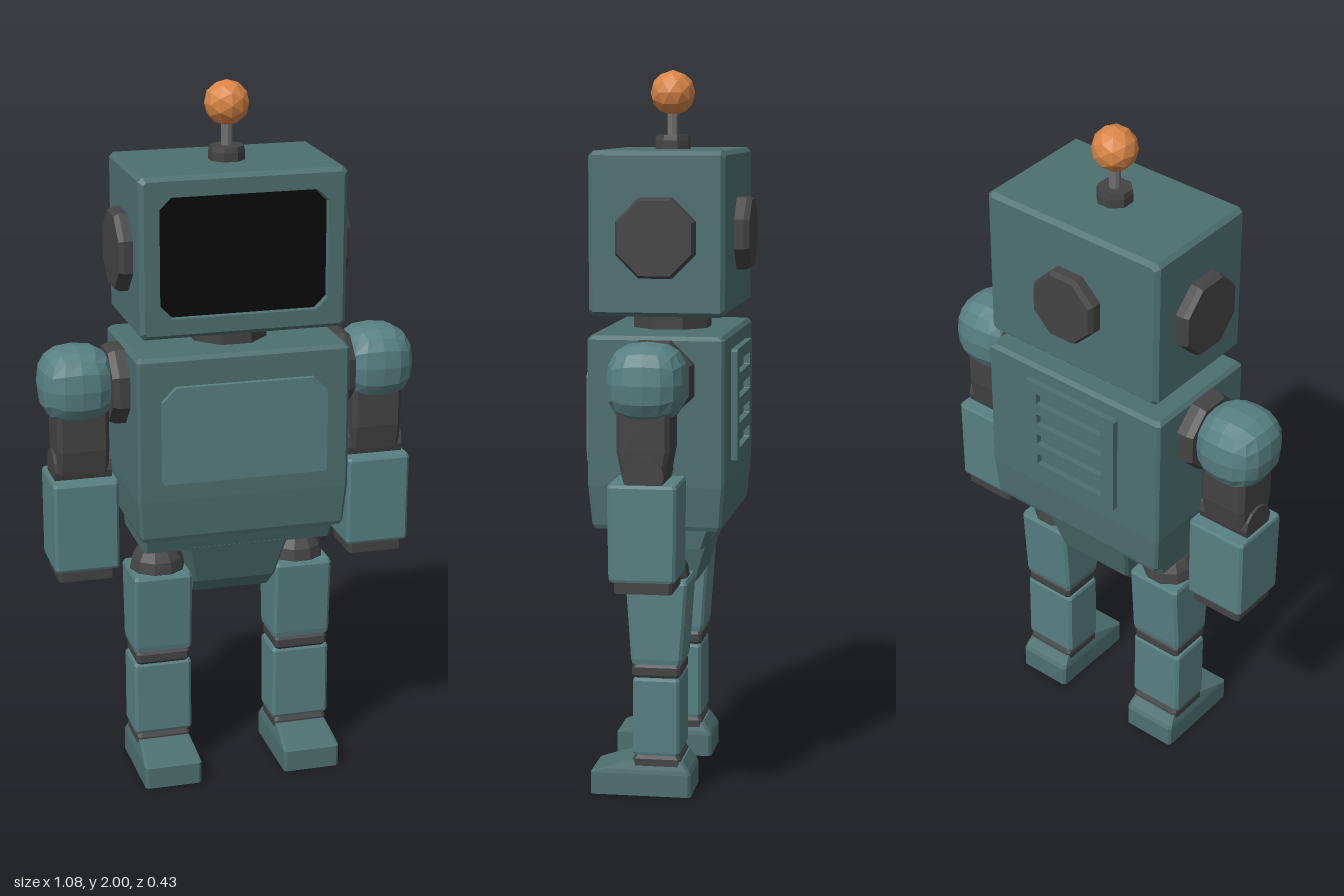
import * as THREE from 'three';

const paint = (color) => new THREE.MeshStandardMaterial({ color, flatShading: true });
const BODY = paint(0x4e7070), LIMB = paint(0x588082), DARK = paint(0x444444);
const BLACK = paint(0x0a0a0a), ORANGE = paint(0xd98545), METAL = paint(0x707070);
const ZC = 0.01; // depth of the body's centre line

// Stacks chamfered rectangles [y, half width, front z, back z, corner cut] into a closed solid
function loft(sections) {
  const rings = sections.map(([y, w, f, b, c = 0.008]) => [
    [-w + c, f], [w - c, f], [w, f - c], [w, b + c],
    [w - c, b], [-w + c, b], [-w, b + c], [-w, f - c],
  ].map(([x, z]) => [x, y, z]));
  const pos = [];
  const tri = (...points) => points.forEach((p) => pos.push(...p));
  for (let r = 0; r + 1 < rings.length; r++) {
    const a = rings[r], b = rings[r + 1];
    for (let i = 0; i < 8; i++) {
      const j = (i + 1) % 8;
      tri(a[i], a[j], b[j]);
      tri(a[i], b[j], b[i]);
    }
  }
  const first = rings[0], last = rings[rings.length - 1];
  for (let i = 1; i < 7; i++) {
    tri(first[0], first[i + 1], first[i]);
    tri(last[0], last[i], last[i + 1]);
  }
  const geo = new THREE.BufferGeometry();
  geo.setAttribute('position', new THREE.Float32BufferAttribute(pos, 3));
  geo.computeVertexNormals();
  return geo;
}

// Bevelled octagonal disc standing on y = 0, flats facing the axes
function disc(radius, height) {
  const r = radius / Math.cos(Math.PI / 8);
  const profile = [[0, 0], [r, 0], [r, height * 0.65], [r * 0.93, height], [0, height]];
  const geo = new THREE.LatheGeometry(profile.map(([x, y]) => new THREE.Vector2(x, y)), 8);
  return geo.rotateY(Math.PI / 8);
}

// Ball made from a subdivided cube, a little squarer than a sphere
function cubeBall(radius) {
  const geo = new THREE.BoxGeometry(2, 2, 2, 4, 4, 4);
  const p = geo.attributes.position, v = new THREE.Vector3(), power = 2.6;
  for (let i = 0; i < p.count; i++) {
    v.fromBufferAttribute(p, i);
    const n = v.toArray().reduce((sum, k) => sum + Math.abs(k) ** power, 0) ** (1 / power);
    v.multiplyScalar(radius / n);
    p.setXYZ(i, v.x, v.y, v.z);
  }
  geo.computeVertexNormals();
  return geo;
}

// Rectangle outline centred on (0, y), with its corners cut
function outline(Type, w, y, h, topCut, bottomCut = topCut) {
  return new Type([
    [-w + bottomCut, y - h], [w - bottomCut, y - h], [w, y - h + bottomCut], [w, y + h - topCut],
    [w - topCut, y + h], [-w + topCut, y + h], [-w, y + h - topCut], [-w, y - h + bottomCut],
  ].map(([px, py]) => new THREE.Vector2(px, py)));
}

const extrude = (shape, depth) => new THREE.ExtrudeGeometry(shape, { depth, bevelEnabled: false });

export function createModel() {
  const model = new THREE.Group();
  model.name = 'robot';

  function add(parent, name, geometry, material, x = 0, y = 0, z = 0) {
    const mesh = new THREE.Mesh(geometry, material);
    mesh.name = name;
    mesh.position.set(x, y, z);
    parent.add(mesh);
    return mesh;
  }

  // Head: lofted front to back, with a recess for the screen
  const head = new THREE.Group();
  head.name = 'head';
  model.add(head);
  const shell = loft([
    [-0.176, 0.278, 0.211, -0.211], [-0.164, 0.29, 0.223, -0.223, 0.012],
    [0.184, 0.29, 0.223, -0.223, 0.012], [0.197, 0.278, 0.211, -0.211],
    [0.197, 0.235, 0.167, -0.167, 0.032], [0.182, 0.232, 0.164, -0.164, 0.032],
  ]).rotateX(Math.PI / 2);
  add(head, 'headShell', shell, BODY, 0, 1.56, 0);
  add(head, 'screen', extrude(outline(THREE.Shape, 0.232, 1.56, 0.164, 0.032), 0.003), BLACK, 0, 0, 0.182);
  for (const s of [1, -1]) {
    add(head, s > 0 ? 'leftEar' : 'rightEar', disc(0.108, 0.04), DARK, s * 0.288, 1.551, ZC).rotation.z = -s * Math.PI / 2;
  }
  add(head, 'backDisc', disc(0.1, 0.044), DARK, 0, 1.551, -0.174).rotation.x = -Math.PI / 2;
  add(head, 'neck', disc(0.104, 0.09), DARK, 0, 1.27, ZC);

  // Antenna
  add(head, 'antennaBase', disc(0.047, 0.042), DARK, 0, 1.78, ZC);
  add(head, 'antennaRod', new THREE.CylinderGeometry(0.016, 0.016, 0.1, 8), METAL, 0, 1.86, ZC);
  add(head, 'antennaBall', new THREE.IcosahedronGeometry(0.063, 1), ORANGE, 0, 1.938, ZC);

  // Torso with its front and back panels
  add(model, 'torso', loft([
    [0.753, 0.288, 0.184, -0.164], [0.765, 0.293, 0.189, -0.168], [0.875, 0.302, 0.199, -0.177],
    [1.275, 0.302, 0.199, -0.177], [1.286, 0.292, 0.189, -0.167],
  ]), BODY);
  add(model, 'chestPanel', extrude(outline(THREE.Shape, 0.235, 1.066, 0.138, 0.04, 0.006), 0.02), LIMB, 0, 0, 0.194);
  const vent = outline(THREE.Shape, 0.16, 1.082, 0.157, 0.006);
  for (let i = 0; i < 4; i++) vent.holes.push(outline(THREE.Path, 0.115, 0.977 + i * 0.07, 0.018, 0.003));
  add(model, 'backVent', extrude(vent, 0.022), BODY, 0, 0, -0.195);

  // Pelvis
  add(model, 'waist', loft([
    [0.7, 0.272, 0.135, -0.115], [0.756, 0.276, 0.155, -0.135],
  ]), BODY);
  add(model, 'pelvis', loft([
    [0.54, 0.112, 0.055, -0.035], [0.585, 0.12, 0.098, -0.08], [0.705, 0.146, 0.138, -0.118],
  ]), BODY);

  for (const s of [1, -1]) {
    // Arm
    const arm = new THREE.Group();
    arm.name = s > 0 ? 'leftArm' : 'rightArm';
    arm.position.x = s * 0.427;
    model.add(arm);
    add(arm, 'shoulderDisc', disc(0.106, 0.055), DARK, -s * 0.132, 1.17, ZC).rotation.z = -s * Math.PI / 2;
    add(arm, 'shoulderBall', cubeBall(0.108), LIMB, s * 0.006, 1.178, ZC);
    add(arm, 'upperArm', loft([
      [0.93, 0.072, 0.07, -0.045, 0.012], [1, 0.073, 0.084, -0.058, 0.012], [1.13, 0.073, 0.084, -0.058, 0.012],
    ]), DARK);
    add(arm, 'elbow', new THREE.CylinderGeometry(0.056, 0.056, 0.162, 12), DARK, 0, 0.935, ZC).rotation.z = Math.PI / 2;
    add(arm, 'forearm', loft([
      [0.653, 0.09, 0.1, -0.074], [0.66, 0.092, 0.103, -0.077],
      [0.905, 0.092, 0.106, -0.08], [0.913, 0.089, 0.102, -0.076],
    ]), LIMB);
    add(arm, 'hand', loft([[0.62, 0.08, 0.09, -0.066], [0.66, 0.08, 0.09, -0.066]]), DARK);

    // Leg
    const leg = new THREE.Group();
    leg.name = s > 0 ? 'leftLeg' : 'rightLeg';
    leg.position.x = s * 0.207;
    model.add(leg);
    add(leg, 'hip', new THREE.SphereGeometry(0.08, 10, 8), DARK, 0, 0.612, ZC);
    add(leg, 'thigh', loft([
      [0.375, 0.082, 0.08, -0.056], [0.39, 0.084, 0.083, -0.059],
      [0.6, 0.084, 0.097, -0.074], [0.61, 0.08, 0.092, -0.069],
    ]), LIMB);
    add(leg, 'knee', loft([
      [0.33, 0.07, 0.07, -0.045], [0.343, 0.078, 0.081, -0.054],
      [0.365, 0.078, 0.081, -0.054], [0.38, 0.07, 0.07, -0.045],
    ]), DARK);
    add(leg, 'shin', loft([
      [0.117, 0.082, 0.074, -0.049], [0.125, 0.084, 0.078, -0.053],
      [0.328, 0.084, 0.078, -0.053], [0.336, 0.081, 0.074, -0.049],
    ]), LIMB);
    add(leg, 'ankle', loft([
      [0.06, 0.078, 0.08, -0.055], [0.105, 0.078, 0.08, -0.055], [0.122, 0.07, 0.07, -0.045],
    ]), DARK);
    add(leg, 'foot', loft([
      [0, 0.083, 0.198, -0.084], [0.062, 0.083, 0.198, -0.084], [0.074, 0.081, 0.165, -0.078],
      [0.1, 0.074, 0.085, -0.06],
    ]), BODY);
  }
  return model;
}
